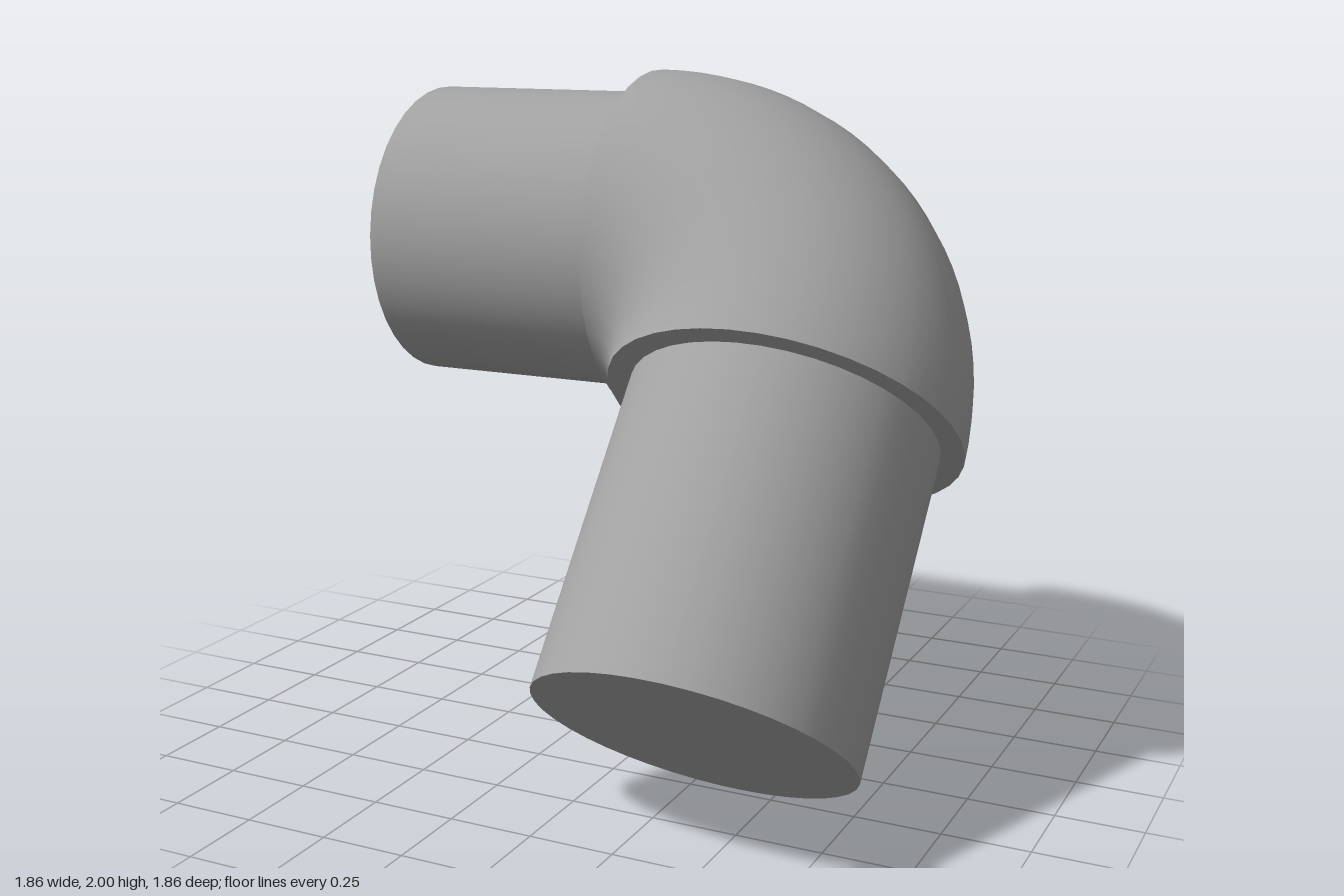
import * as THREE from 'three';

const BEND = 0.575;   // bend radius of the elbow centreline
const COLLAR = 0.526; // elbow outer radius
const PIPE = 0.457;   // pipe radius
const SIDES = 40;

export function createModel() {
  const model = new THREE.Group();
  model.name = 'pipeElbow';
  const grey = new THREE.MeshStandardMaterial({ color: 0xa3a3a3 });
  grey.name = 'grey';

  // The fitting lies in a plane tilted about x, with the bend centre as its origin
  const fitting = new THREE.Group();
  fitting.name = 'fitting';
  fitting.position.set(-0.17, 1.031, -0.038);
  fitting.rotation.x = -0.693;
  model.add(fitting);

  const add = (name, geometry, x, y) => {
    const mesh = new THREE.Mesh(geometry, grey);
    mesh.name = name;
    mesh.position.set(x, y, 0);
    fitting.add(mesh);
  };

  // Quarter-turn elbow
  add('elbow', new THREE.TorusGeometry(BEND, COLLAR, SIDES, 24, Math.PI / 2), 0, 0);

  // Flat rims closing the elbow around each pipe
  const rim = () => new THREE.RingGeometry(PIPE - 0.01, COLLAR, SIDES);
  add('sideRim', rim().rotateY(-Math.PI / 2), 0, BEND);
  add('lowerRim', rim().rotateX(Math.PI / 2), BEND, 0);

  // Straight capped pipes
  const pipe = (length) => new THREE.CylinderGeometry(PIPE, PIPE, length, SIDES);
  add('sidePipe', pipe(0.762).rotateZ(Math.PI / 2), -0.381, BEND);
  add('lowerPipe', pipe(0.96), BEND, -0.48);

  return model;
}
